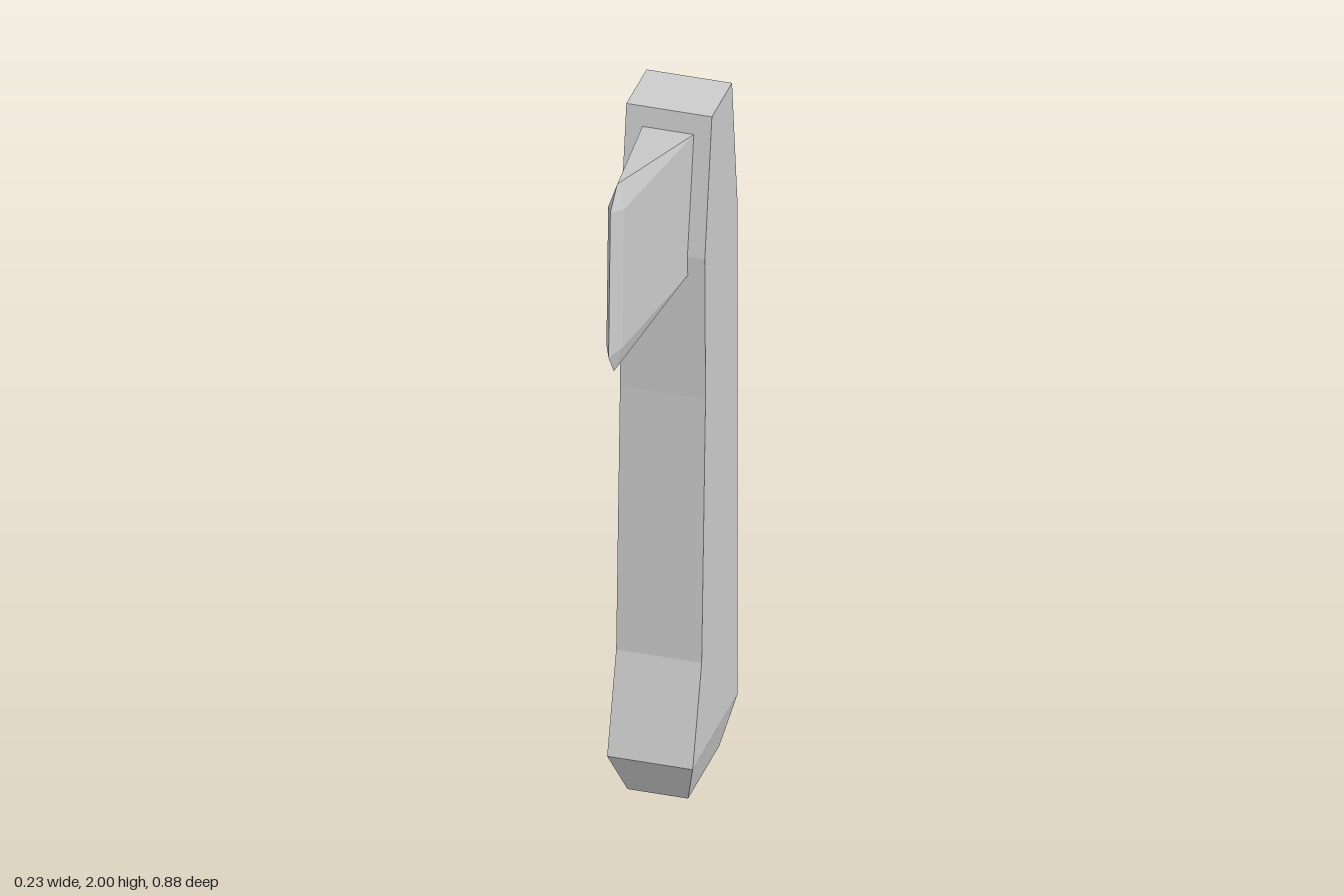
import * as THREE from 'three';
import { ConvexGeometry } from 'three/addons/geometries/ConvexGeometry.js';

const material = new THREE.MeshStandardMaterial({ color: 0xcccccc, flatShading: true });

function addMesh(group, name, geometry) {
  const mesh = new THREE.Mesh(geometry, material);
  mesh.name = name;
  group.add(mesh);
}

// Solid through rectangular sections [y, back z, front z, half width], bottom to top
function loftRectangles(sections) {
  const rings = sections.map(([y, back, front, w]) => [
    [-w, y, front], [w, y, front], [w, y, back], [-w, y, back],
  ]);
  const positions = [];
  const quad = (a, b, c, d) => positions.push(...a, ...b, ...c, ...a, ...c, ...d);
  for (let i = 0; i < rings.length - 1; i++) {
    for (let j = 0; j < 4; j++) {
      const k = (j + 1) % 4;
      quad(rings[i][j], rings[i][k], rings[i + 1][k], rings[i + 1][j]);
    }
  }
  quad(...rings[rings.length - 1]);
  quad(...[...rings[0]].reverse());
  const geometry = new THREE.BufferGeometry();
  geometry.setAttribute('position', new THREE.Float32BufferAttribute(positions, 3));
  geometry.computeVertexNormals();
  return geometry;
}

// Convex solid from points [x, y, z], mirrored across x = 0
function mirroredHull(points) {
  const all = [];
  for (const [x, y, z] of points) {
    all.push(new THREE.Vector3(x, y, z));
    if (x !== 0) all.push(new THREE.Vector3(-x, y, z));
  }
  return new ConvexGeometry(all);
}

export function createModel() {
  const model = new THREE.Group();
  model.name = 'hatchet';

  // Handle with flared foot and tapered top
  addMesh(model, 'handle', loftRectangles([
    [0, -0.255, 0.015, 0.08],
    [0.13, -0.305, 0.083, 0.113],
    [0.4, -0.305, 0.005, 0.113],
    [1.16, -0.305, -0.028, 0.113],
    [1.575, -0.305, -0.022, 0.113],
    [1.96, -0.257, -0.083, 0.113],
  ]));

  // Wedge blade with chamfered top, bottom and cutting edge
  addMesh(model, 'blade', mirroredHull([
    [0.068, 1.905, -0.075], [0.068, 1.86, -0.07],
    [0.068, 1.56, -0.03], [0.068, 1.52, -0.025],
    [0.021, 1.935, 0.375], [0.021, 1.535, 0.39],
    [0, 2, 0.365], [0, 1.95, 0.425], [0, 1.53, 0.44], [0, 1.465, 0.395],
  ]));

  // Blunt block behind the handle
  addMesh(model, 'poll', mirroredHull([
    [0.068, 1.85, -0.27], [0.068, 1.6, -0.3],
    [0.055, 1.805, -0.436], [0.055, 1.66, -0.436],
  ]));

  return model;
}
